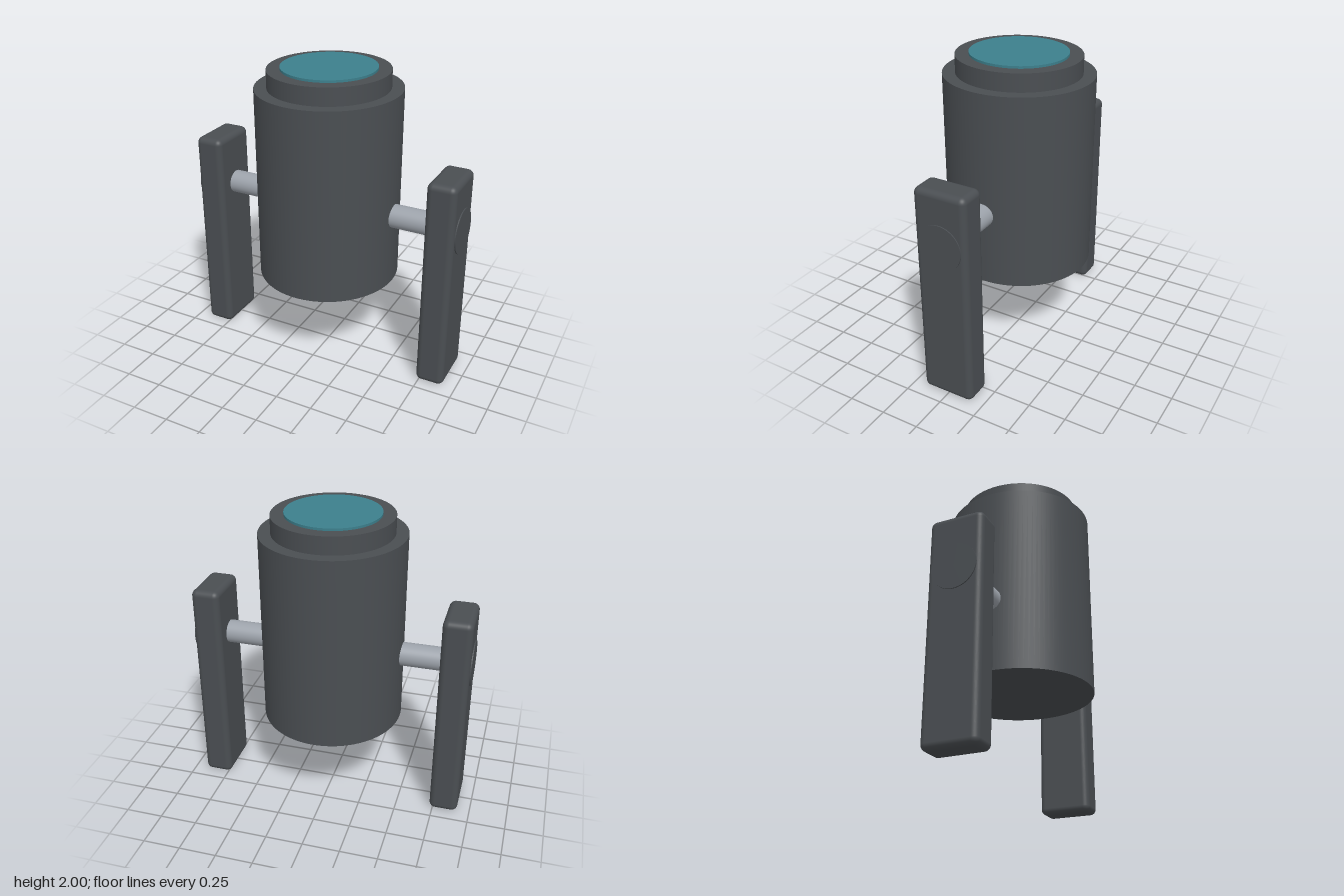
import * as THREE from 'three';
import { RoundedBoxGeometry } from 'three/addons/geometries/RoundedBoxGeometry.js';

export function createModel() {
  const model = new THREE.Group();
  model.name = 'barrelOnStand';

  const material = (name, color) => {
    const m = new THREE.MeshStandardMaterial({ color });
    m.name = name;
    return m;
  };
  const darkGrey = material('darkGrey', 0x4a4e52);
  const steel = material('steel', 0x9ca2aa);
  const teal = material('teal', 0x3c7f8c);

  const add = (name, geometry, mat, parent = model) => {
    const mesh = new THREE.Mesh(geometry, mat);
    mesh.name = name;
    parent.add(mesh);
    return mesh;
  };

  // Upright, slightly oval cylinder between two heights
  const drum = (name, rx, rz, y0, y1, mat) => {
    const g = new THREE.CylinderGeometry(1, 1, y1 - y0, 96);
    g.scale(rx, 1, rz);
    g.translate(0, (y0 + y1) / 2, 0);
    return add(name, g, mat);
  };
  drum('body', 0.464, 0.48, 0.6, 1.87, darkGrey);
  drum('topRing', 0.385, 0.398, 1.87, 1.985, darkGrey);
  drum('lens', 0.302, 0.311, 1.985, 2, teal);

  // Horizontal cylinder along x
  const rod = (name, radius, x0, x1, mat, parent) => {
    const g = new THREE.CylinderGeometry(radius, radius, x1 - x0, 48);
    g.rotateZ(Math.PI / 2);
    g.translate((x0 + x1) / 2, 1.08, 0);
    return add(name, g, mat, parent);
  };

  // Leg, axle and pivot cap on each side
  for (const side of [1, -1]) {
    const support = new THREE.Group();
    support.name = side > 0 ? 'leftSupport' : 'rightSupport';
    if (side < 0) support.rotation.y = Math.PI;
    model.add(support);

    const leg = add('leg', new RoundedBoxGeometry(0.19, 1.43, 0.354, 5, 0.04), darkGrey, support);
    leg.position.set(0.822, 0.715, 0);
    rod('axle', 0.077, 0.4, 0.76, steel, support);
    rod('pivotCap', 0.147, 0.9, 0.924, darkGrey, support);
  }

  return model;
}
